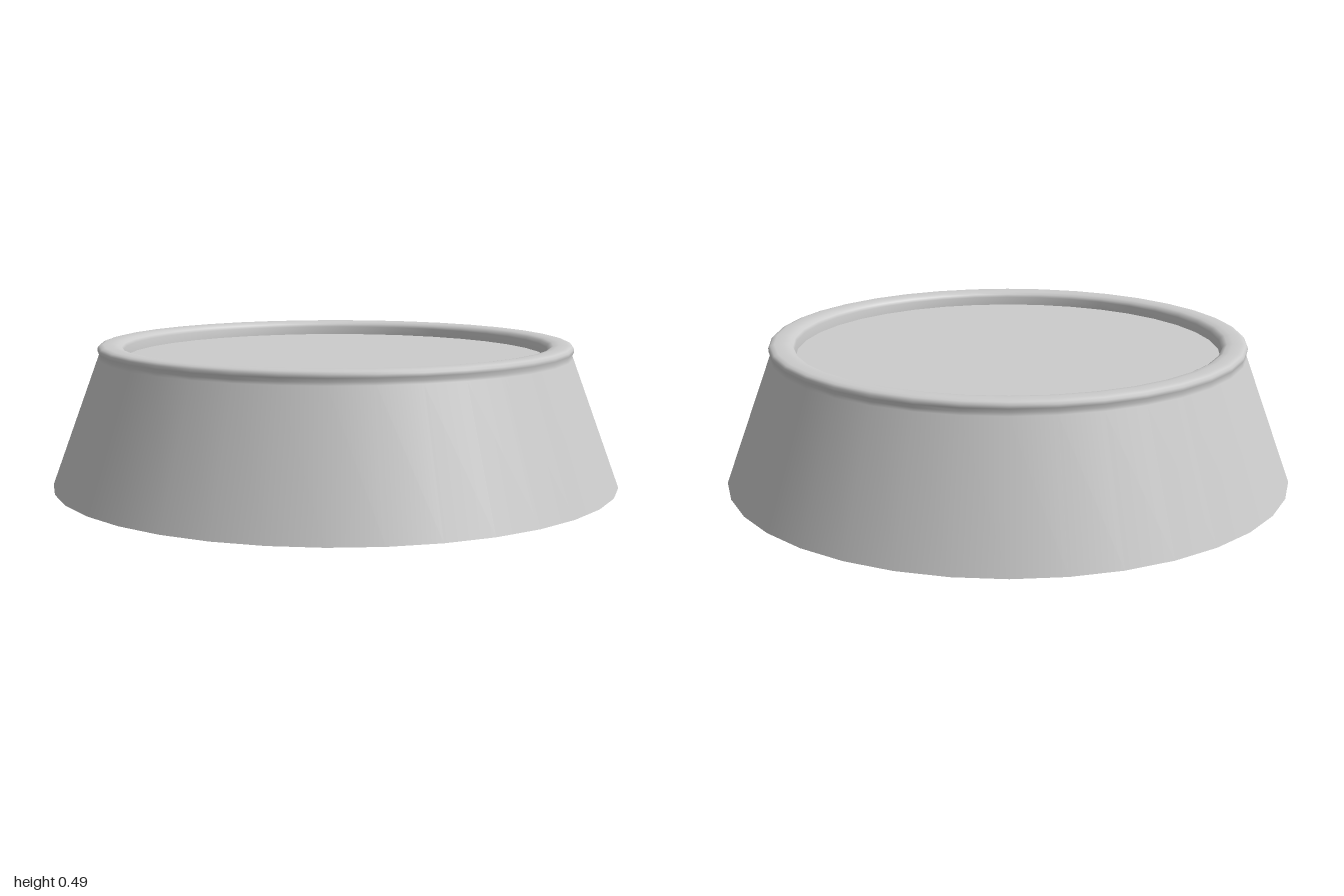
import * as THREE from 'three';

const SIDES = 36;

export function createModel() {
  const model = new THREE.Group();
  const material = new THREE.MeshStandardMaterial({ color: 0xcccccc });

  const add = (name, geometry) => {
    const mesh = new THREE.Mesh(geometry, material);
    mesh.name = name;
    model.add(mesh);
    return mesh;
  };
  const lathe = (points) =>
    new THREE.LatheGeometry(points.map(([r, y]) => new THREE.Vector2(r, y)), SIDES);

  // Sloping outer wall
  add('outerWall', lathe([[1, 0], [0.835, 0.445]]));

  // Rounded rim, from the neck over the top and down into the recess
  add('rim', lathe([
    [0.835, 0.445], [0.831, 0.456], [0.836, 0.468], [0.836, 0.479], [0.829, 0.487],
    [0.815, 0.491], [0.785, 0.491], [0.765, 0.488], [0.752, 0.481], [0.747, 0.47], [0.745, 0.44],
  ]));

  // Shallow recessed floor
  const floor = add('recessFloor', new THREE.CircleGeometry(0.745, SIDES));
  floor.rotation.x = -Math.PI / 2;
  floor.position.y = 0.44;

  // Flat underside
  const base = add('underside', new THREE.CircleGeometry(1, SIDES));
  base.rotation.x = Math.PI / 2;

  return model;
}
